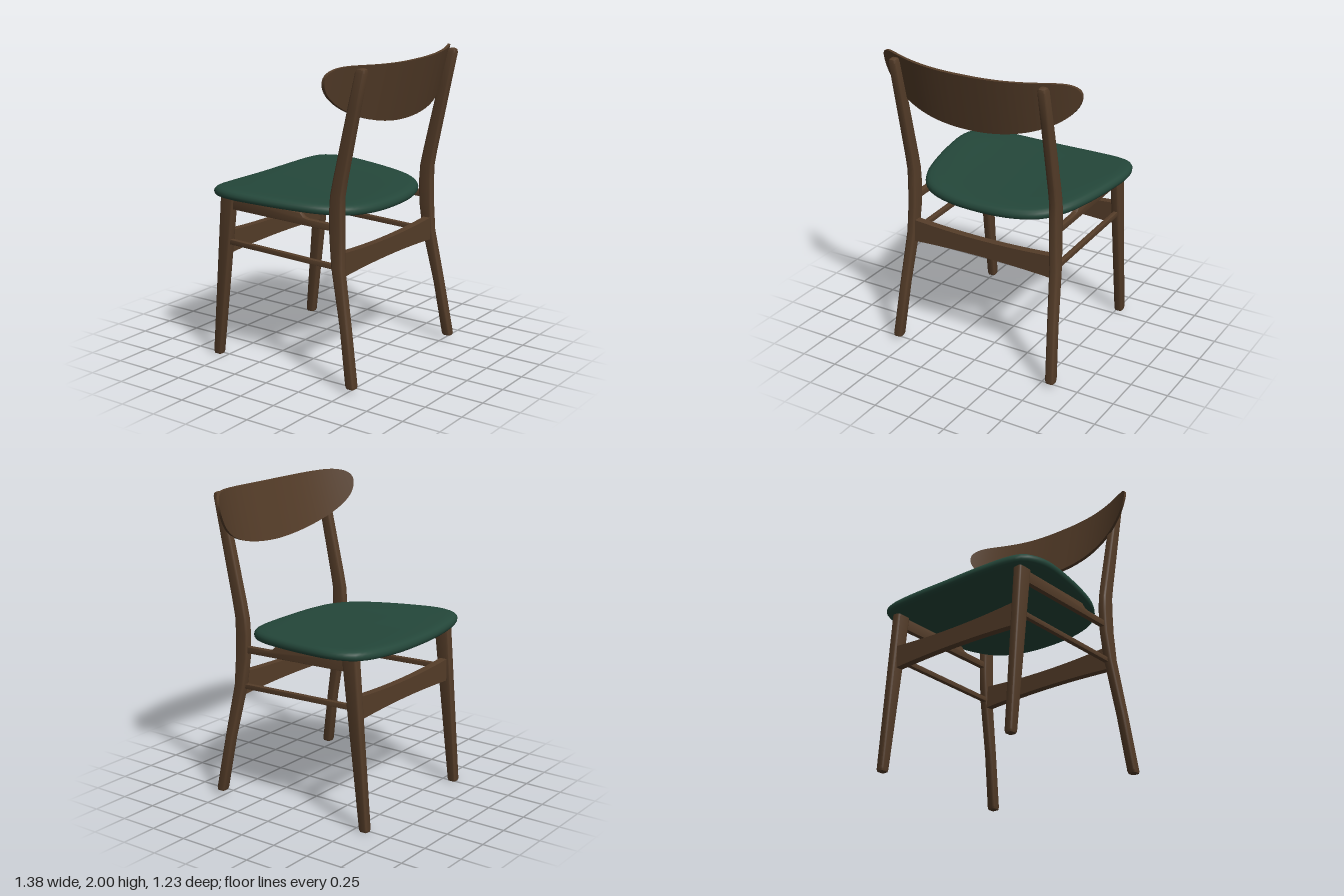
import * as THREE from 'three';
import { toCreasedNormals } from 'three/addons/utils/BufferGeometryUtils.js';

const wood = new THREE.MeshStandardMaterial({ color: 0x553d29 });
wood.name = 'walnut wood';
const fabric = new THREE.MeshStandardMaterial({ color: 0x24473a });
fabric.name = 'green upholstery';

function addMesh(group, name, geometry, material, crease = 0.6) {
  const mesh = new THREE.Mesh(toCreasedNormals(geometry, crease), material);
  mesh.name = name;
  group.add(mesh);
}

// Closed skin over rings of points, listed from bottom to top
function skin(rings) {
  const n = rings[0].length, pos = [], index = [];
  rings.forEach(ring => ring.forEach(p => pos.push(p.x, p.y, p.z)));
  for (let r = 0; r < rings.length - 1; r++) {
    for (let i = 0; i < n; i++) {
      const a = r * n + i, b = r * n + (i + 1) % n;
      index.push(a, a + n, b, b, a + n, b + n);
    }
  }
  [0, rings.length - 1].forEach((r, top) => {
    const c = new THREE.Vector3();
    rings[r].forEach(p => c.addScaledVector(p, 1 / n));
    const centre = pos.length / 3;
    pos.push(c.x, c.y, c.z);
    for (let i = 0; i < n; i++) {
      const a = r * n + i, b = r * n + (i + 1) % n;
      index.push(centre, top ? b : a, top ? a : b);
    }
  });
  const g = new THREE.BufferGeometry();
  g.setAttribute('position', new THREE.Float32BufferAttribute(pos, 3));
  g.setIndex(index);
  return g;
}

// Horizontal rounded rectangle: width w along x, depth d along z
function section(x, y, z, w, d) {
  const r = Math.min(w, d) * 0.25, pts = [];
  [[1, 1], [-1, 1], [-1, -1], [1, -1]].forEach(([sx, sz], q) => {
    for (let k = 0; k <= 3; k++) {
      const a = (q + k / 3) * Math.PI / 2;
      pts.push(new THREE.Vector3(
        x + sx * (w / 2 - r) + r * Math.cos(a), y,
        z + sz * (d / 2 - r) + r * Math.sin(a)));
    }
  });
  return pts;
}

// Leg sections: [y, centre x, nearest z, farthest z, width]
const BACK_LEG = [
  [0.03, 0.575, 0.495, 0.55, 0.054], [0.045, 0.574, 0.488, 0.552, 0.06],
  [0.4, 0.55, 0.43, 0.492, 0.06], [0.76, 0.525, 0.35, 0.427, 0.058],
  [0.95, 0.515, 0.328, 0.42, 0.056], [1.1, 0.513, 0.325, 0.418, 0.056],
  [1.2, 0.513, 0.332, 0.42, 0.056], [1.3, 0.513, 0.353, 0.438, 0.056],
  [1.75, 0.513, 0.458, 0.532, 0.056], [1.955, 0.513, 0.508, 0.576, 0.054],
  [1.975, 0.513, 0.52, 0.573, 0.044], [1.982, 0.513, 0.532, 0.563, 0.028],
];
const FRONT_LEG = [
  [0, 0.513, -0.598, -0.545, 0.048], [0.015, 0.513, -0.602, -0.54, 0.056],
  [1.085, 0.511, -0.515, -0.41, 0.06],
];
const leg = (rows, side) => skin(rows.map(([y, x, z0, z1, w]) =>
  section(side * x, y, (z0 + z1) / 2, w, z1 - z0)));

// Rail with a profile of [z, y] points, given thickness along x
function sideRail(points, x, thickness) {
  const shape = new THREE.Shape(points.map(p => new THREE.Vector2(...p)));
  const b = 0.005;
  const g = new THREE.ExtrudeGeometry(shape, {
    depth: thickness - 2 * b, bevelThickness: b, bevelSize: b, bevelOffset: -b, bevelSegments: 2,
  });
  return g.translate(0, 0, b - thickness / 2).rotateY(-Math.PI / 2).translate(x, 0, 0);
}

// Cross board, waisted in the middle
function stretcher(z) {
  const s = new THREE.Shape();
  s.moveTo(-0.51, 0.698);
  s.quadraticCurveTo(0, 0.732, 0.51, 0.698);
  s.lineTo(0.51, 0.85);
  s.quadraticCurveTo(0, 0.806, -0.51, 0.85);
  return new THREE.ExtrudeGeometry(s, { depth: 0.05, bevelEnabled: false, curveSegments: 20 })
    .translate(0, 0, z - 0.025);
}

// Curved, tilted backrest, rounded at the ends
function backrest() {
  const g = new THREE.BoxGeometry(2, 1, 1, 48, 8, 1), p = g.attributes.position;
  for (let i = 0; i < p.count; i++) {
    const s = Math.sin(p.getX(i) * Math.PI / 2) * 0.9995, t = Math.abs(s);
    const bottom = 1.92 - 0.31 * Math.sqrt(1 - t * t);
    const top = 1.92 + (0.06 + 0.032 * t * t) * Math.sqrt(1 - t ** 10);
    const y = THREE.MathUtils.lerp(bottom, top, p.getY(i) + 0.5);
    const back = 0.612 - 0.24 * (1.98 - y) - 0.19 * t ** 2.5;
    const thickness = 0.028 - 0.008 * t;
    p.setXYZ(i, s * 0.688, y, back - (p.getZ(i) < 0 ? thickness : 0));
  }
  return g;
}

// Saddle-shaped cushion: one outline, scaled ring by ring
function cushion() {
  const half = [
    [0.3, -0.605], [0.5, -0.572], [0.58, -0.53], [0.622, -0.45], [0.638, -0.35],
    [0.625, -0.2], [0.59, 0], [0.545, 0.17], [0.51, 0.25], [0.46, 0.325], [0.38, 0.39], [0.22, 0.44],
  ];
  const outline = [[0, -0.615], ...half, [0, 0.455], ...half.slice().reverse().map(([x, z]) => [-x, z])];
  const curve = new THREE.CatmullRomCurve3(
    outline.map(([x, z]) => new THREE.Vector3(x, 0, z)), true, 'centripetal');
  const pts = curve.getSpacedPoints(96).slice(0, 96);
  // [scale, height]
  const profile = [
    [0.3, 0], [0.65, 0], [0.95, 0], [0.985, 0.004], [0.997, 0.014], [1, 0.028], [0.993, 0.043],
    [0.975, 0.055], [0.945, 0.062], [0.88, 0.066], [0.65, 0.068], [0.3, 0.069],
  ];
  return skin(profile.map(([s, h]) => pts.map(p => {
    const x = p.x * s, z = -0.08 + (p.z + 0.08) * s;
    const saddle = 0.033 * (x / 0.64) ** 2 + 0.028 * (0.45 - z);
    return new THREE.Vector3(x, 1.035 + saddle + h, z);
  })));
}

export function createModel() {
  const chair = new THREE.Group();
  chair.name = 'diningChair';

  for (const side of [1, -1]) {
    const label = side > 0 ? 'Left' : 'Right';
    addMesh(chair, 'backLeg' + label, leg(BACK_LEG, side), wood);
    addMesh(chair, 'frontLeg' + label, leg(FRONT_LEG, side), wood);
    // Seat rail, stepped down near the back leg
    addMesh(chair, 'seatRail' + label, sideRail([
      [0.36, 0.98], [0.36, 1.022], [0.16, 1.028], [0.13, 1.035], [0.105, 1.06],
      [-0.44, 1.078], [-0.44, 1.0],
    ], side * 0.513, 0.036), wood);
    addMesh(chair, 'lowerRail' + label, sideRail([
      [0.38, 0.74], [0.38, 0.772], [-0.48, 0.799], [-0.48, 0.765],
    ], side * 0.515, 0.032), wood);
  }

  addMesh(chair, 'backStretcher', stretcher(0.39), wood);
  addMesh(chair, 'frontStretcher', stretcher(-0.493), wood);
  addMesh(chair, 'backrest', backrest(), wood);
  addMesh(chair, 'seatCushion', cushion(), fabric, 1);
  return chair;
}
